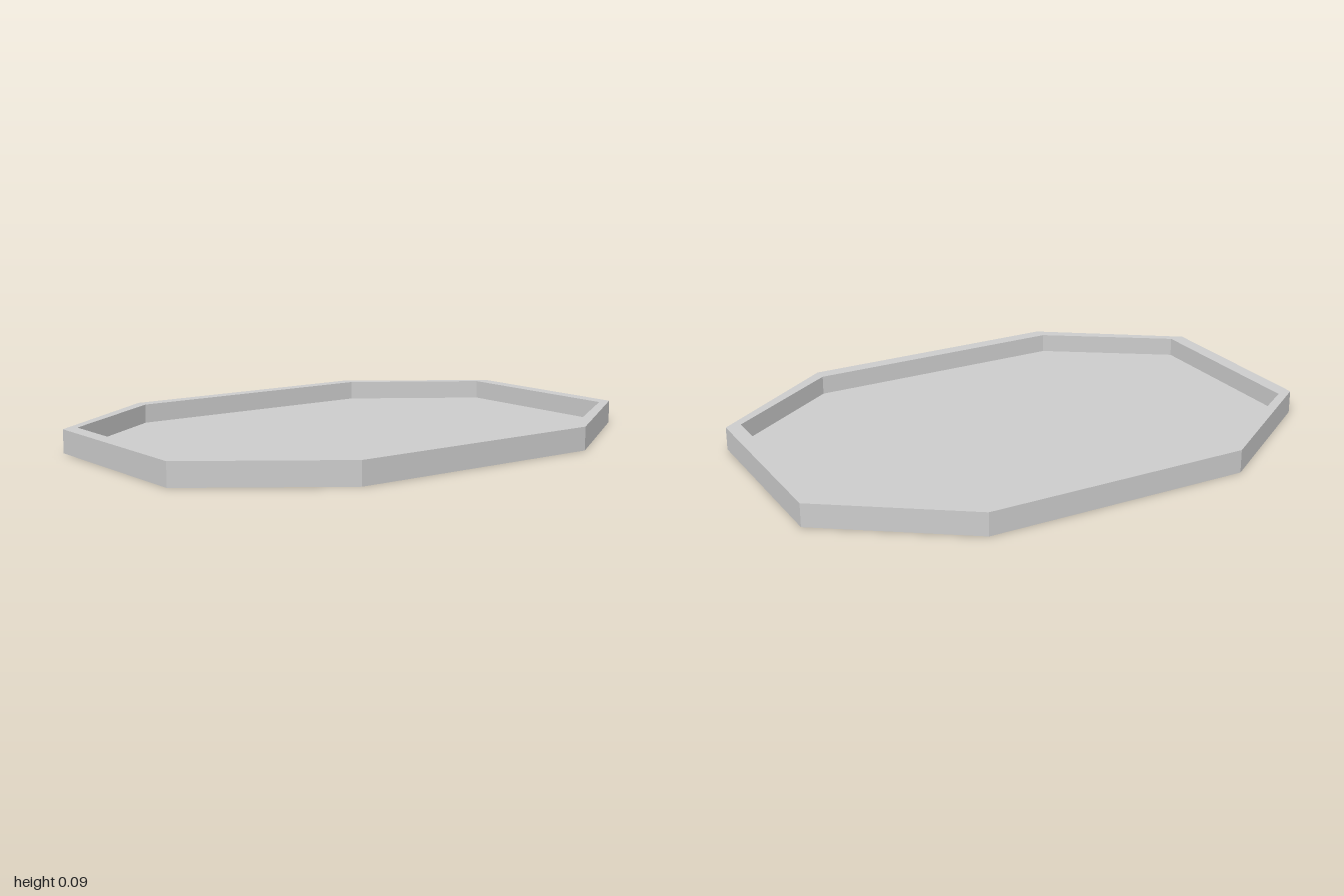
import * as THREE from 'three';

const HEIGHT = 0.086;
const FLOOR = 0.015;

// Corners of an elongated octagon with the given half extents.
function octagon(halfX, halfZ, cornerX = 0.5, cornerZ = 0.357) {
  return [
    [halfX, -cornerZ], [halfX, cornerZ], [cornerX, halfZ], [-cornerX, halfZ],
    [-halfX, cornerZ], [-halfX, -cornerZ], [-cornerX, -halfZ], [cornerX, -halfZ],
  ].map(([x, z]) => new THREE.Vector2(x, z));
}

// Extrudes a flat shape upwards from y0 to y1.
function slab(name, shape, y0, y1, material) {
  const geometry = new THREE.ExtrudeGeometry(shape, { depth: y1 - y0, bevelEnabled: false });
  geometry.rotateX(-Math.PI / 2).translate(0, y0, 0);
  const mesh = new THREE.Mesh(geometry, material);
  mesh.name = name;
  return mesh;
}

export function createModel() {
  const group = new THREE.Group();
  group.name = 'octagonalTray';
  const material = new THREE.MeshStandardMaterial({ color: 0xcccccc, flatShading: true });

  // Thin floor plate
  const outer = octagon(1, 0.713);
  group.add(slab('floor', new THREE.Shape(outer), 0, FLOOR, material));

  // Raised rim around the edge
  const rim = new THREE.Shape(outer);
  rim.holes.push(new THREE.Path(octagon(0.944, 0.66)));
  group.add(slab('rim', rim, FLOOR, HEIGHT, material));

  return group;
}
